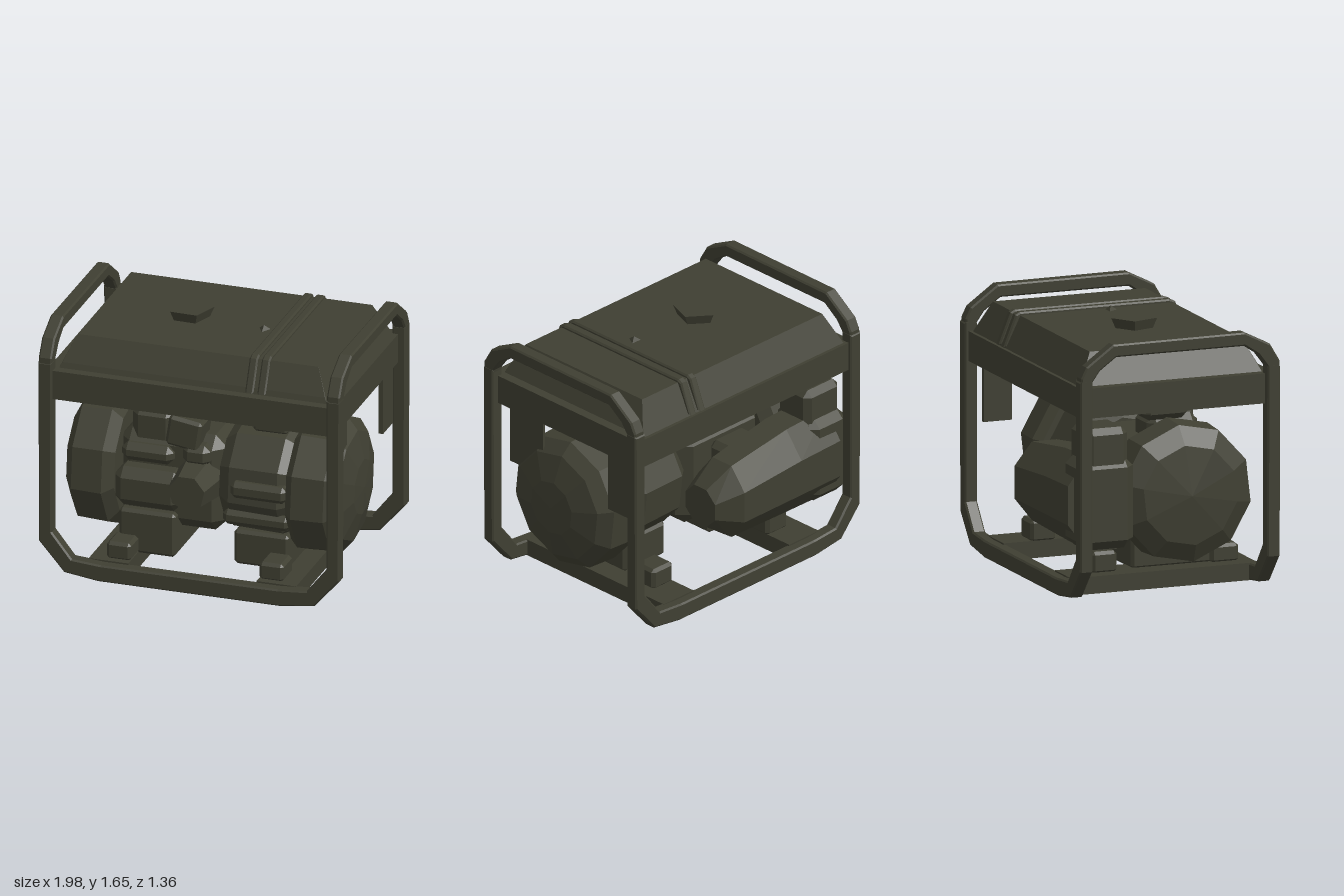
import * as THREE from 'three';
import { ConvexGeometry } from 'three/addons/geometries/ConvexGeometry.js';

const paint = new THREE.MeshStandardMaterial({ color: 0x3f3f32, flatShading: true, side: THREE.DoubleSide });

export function createModel() {
  const model = new THREE.Group();
  model.name = 'portableGenerator';

  const add = (name, geometry) => {
    const mesh = new THREE.Mesh(geometry, paint);
    mesh.name = name;
    model.add(mesh);
    return mesh;
  };

  // Box given by its limits, with all edges cut off by c
  const block = (name, [x0, x1], [y0, y1], [z0, z1], c = 0) => {
    const pts = [];
    for (const i of [0, 1]) for (const j of [0, 1]) for (const k of [0, 1]) {
      const p = [i ? x1 : x0, j ? y1 : y0, k ? z1 : z0];
      const d = [i ? -c : c, j ? -c : c, k ? -c : c];
      if (!c) pts.push(new THREE.Vector3(...p));
      else for (let a = 0; a < 3; a++) {
        pts.push(new THREE.Vector3(...p.map((v, n) => (n === a ? v : v + d[n]))));
      }
    }
    return add(name, new ConvexGeometry(pts));
  };

  // Flat bent bar cut from an outline, with bevelled edges
  const bar = (name, outline, depth) => {
    const shape = new THREE.Shape(outline.map(([a, b]) => new THREE.Vector2(a, b)));
    const b = 0.01;
    const geo = new THREE.ExtrudeGeometry(shape, {
      depth: depth - 2 * b, bevelEnabled: true, bevelSize: b, bevelOffset: -b, bevelThickness: b, bevelSegments: 1,
    });
    geo.translate(0, 0, b - depth / 2);
    return add(name, geo);
  };

  // Turned part whose axis runs along x; profile is [x, radius]
  const drum = (name, profile, sides, y, z) => {
    const geo = new THREE.LatheGeometry(profile.map(([x, r]) => new THREE.Vector2(r, x)), sides);
    geo.rotateZ(-Math.PI / 2);
    geo.rotateX(0.2);
    geo.translate(0, y, z);
    return add(name, geo);
  };

  // Stack of eight-sided sections along x: [x, yCentre, zCentre, halfHeight, halfDepth]
  const loft = (name, sections) => {
    const pts = [];
    for (const [x, y, z, h, d] of sections) for (let i = 0; i < 8; i++) {
      const a = (i + 0.5) * Math.PI / 4;
      pts.push(new THREE.Vector3(x, y + Math.sin(a) * h * 1.08, z + Math.cos(a) * d * 1.08));
    }
    return add(name, new ConvexGeometry(pts));
  };

  // Front and back frame: two uprights joined by a bottom rail
  const outer = [[0.99, 1.45], [0.985, 0.24], [0.82, 0.05], [0.6, 0.02]];
  const inner = [[0.58, 0.13], [0.77, 0.145], [0.9, 0.31], [0.9, 1.45]];
  const flip = (list) => list.map(([a, b]) => [-a, b]).reverse();
  const uFrame = [...outer, ...flip(outer), ...flip(inner), ...inner];
  for (const [name, z] of [['frontFrame', 0.635], ['backFrame', -0.62]]) bar(name, uFrame, 0.085).position.z = z;

  // Arched carrying handle at each end
  const handle = [
    [0.675, 1.38], [0.675, 1.48], [0.61, 1.59], [0.44, 1.675], [-0.44, 1.67], [-0.62, 1.54], [-0.655, 1.47], [-0.655, 1.38],
    [-0.59, 1.38], [-0.58, 1.44], [-0.53, 1.51], [-0.42, 1.59], [0.44, 1.59], [0.53, 1.53], [0.59, 1.45], [0.6, 1.38],
  ];
  for (const [name, x] of [['leftHandle', 0.945], ['rightHandle', -0.945]]) {
    const mesh = bar(name, handle.map(([z, y]) => [-z, y]), 0.085);
    mesh.rotation.y = Math.PI / 2;
    mesh.position.x = x;
  }

  // Cross beams with rubber mounts
  for (const [x, mountX] of [[-0.55, -0.5], [0.55, 0.5]]) {
    block('crossBeam', [x - 0.13, x + 0.13], [0.03, 0.14], [-0.6, 0.61]);
    block('backMount', [mountX - 0.09, mountX + 0.09], [0.13, 0.27], [-0.42, -0.25], 0.02);
    block('frontMount', [mountX - 0.08, mountX + 0.08], [0.13, 0.25], [0.38, 0.57], 0.02);
  }

  // Tray under the fuel tank
  block('tankTray', [-0.94, 0.94], [1.205, 1.395], [-0.64, 0.66]);

  // Fuel tank with sloped sides
  const tank = [];
  for (const [y, x, z0, z1] of [[1.39, 0.88, -0.62, 0.6], [1.43, 0.86, -0.6, 0.585], [1.595, 0.79, -0.52, 0.5]]) {
    for (const s of [-1, 1]) for (const z of [z0, z1]) tank.push(new THREE.Vector3(s * x, y, z));
  }
  add('fuelTank', new ConvexGeometry(tank));

  // Twin ridges over the tank
  const ridge = [[0.61, 1.4], [0.52, 1.6], [0.48, 1.615], [-0.52, 1.615], [-0.55, 1.6], [-0.63, 1.4]];
  for (const x of [0.37, 0.45]) {
    const mesh = bar('tankRidge', ridge.map(([z, y]) => [-z, y]).reverse(), 0.055);
    mesh.rotation.y = Math.PI / 2;
    mesh.position.x = x;
  }

  // Filler cap and gauge
  const cap = add('fillerCap', new THREE.CylinderGeometry(0.15, 0.12, 0.07, 5));
  cap.position.set(-0.22, 1.625, 0.01);
  cap.rotation.y = 0.6;
  const gauge = add('fuelGauge', new THREE.ConeGeometry(0.07, 0.05, 3));
  gauge.position.set(0.28, 1.6, 0.06);

  // Alternator: domed end drum and narrower housing
  drum('alternatorEnd', [[0.57, 0], [0.57, 0.4], [0.62, 0.45], [0.83, 0.44], [0.9, 0.36], [0.95, 0.18], [0.96, 0]], 10, 0.65, 0.115);
  drum('alternatorHousing', [[0.1, 0.3], [0.18, 0.37], [0.5, 0.38], [0.57, 0.33], [0.6, 0.3]], 10, 0.65, 0.1);
  block('alternatorLedge', [0.2, 0.57], [0.62, 0.73], [0.2, 0.5], 0.03);
  block('alternatorLowerLedge', [0.14, 0.58], [0.42, 0.52], [0.15, 0.46], 0.03);
  block('alternatorFoot', [0.19, 0.55], [0.13, 0.36], [-0.13, 0.38], 0.02);
  block('alternatorTopBox', [0.27, 0.5], [0.98, 1.21], [-0.02, 0.25], 0.02);

  // Starter drum on the other end
  drum('starterDrum', [[-0.92, 0], [-0.89, 0.32], [-0.82, 0.44], [-0.62, 0.45], [-0.56, 0.37], [-0.56, 0]], 10, 0.65, 0.115);

  // Engine
  block('engineBlock', [-0.58, 0.12], [0.3, 0.94], [-0.22, 0.36], 0.08);
  block('engineFoot', [-0.55, -0.18], [0.13, 0.42], [-0.14, 0.42], 0.02);
  block('crankcaseCover', [-0.57, -0.12], [0.46, 0.72], [0.2, 0.5], 0.06);
  block('cylinderHead', [-0.5, -0.22], [0.8, 1.08], [0, 0.34], 0.05);
  block('sideRib', [-0.54, -0.2], [0.74, 0.86], [0.2, 0.42], 0.04);
  const filter = add('airFilter', new THREE.CylinderGeometry(0.12, 0.17, 0.3, 7));
  filter.rotation.x = Math.PI / 2;
  filter.position.set(-0.05, 0.65, 0.43);
  const carb = block('carburettor', [-0.11, 0.11], [-0.1, 0.1], [-0.11, 0.11], 0.02);
  carb.position.set(-0.13, 0.97, 0.3);
  carb.rotation.z = -0.15;
  block('intake', [-0.14, 0.04], [0.76, 0.9], [0.2, 0.42], 0.04);
  block('topBracket', [-0.55, -0.16], [1.06, 1.21], [-0.05, 0.25], 0.04);

  // Loose cables under the tray
  const cable = new THREE.CatmullRomCurve3([
    [-0.2, 1.12, 0], [0, 1.18, -0.1], [0.2, 1.17, -0.2], [0.3, 1.08, -0.1], [0.6, 1.11, -0.12],
  ].map((p) => new THREE.Vector3(...p)));
  add('cable', new THREE.TubeGeometry(cable, 10, 0.015, 4));

  // Exhaust silencer behind the engine: boxy at one end, tapering towards the alternator
  loft('silencer', [
    [-0.8, 0.63, -0.44, 0.3, 0.23], [-0.45, 0.63, -0.45, 0.29, 0.23],
    [0.05, 0.61, -0.48, 0.25, 0.2], [0.2, 0.59, -0.44, 0.13, 0.13],
  ]);
  block('silencerEnd', [-0.92, -0.6], [0.35, 0.93], [-0.63, -0.26], 0.06);
  block('heatShield', [-0.9, -0.6], [0.72, 1.12], [-0.58, -0.3], 0.04);
  block('exhaustPort', [-0.4, -0.1], [0.55, 0.85], [-0.4, -0.2], 0.04);

  // Plates hanging from the tray beside the alternator
  block('backHangingPlate', [0.89, 0.92], [0.81, 1.22], [-0.54, -0.35]);
  block('frontHangingPlate', [0.87, 0.89], [0.8, 1.22], [0.25, 0.54]);

  return model;
}
